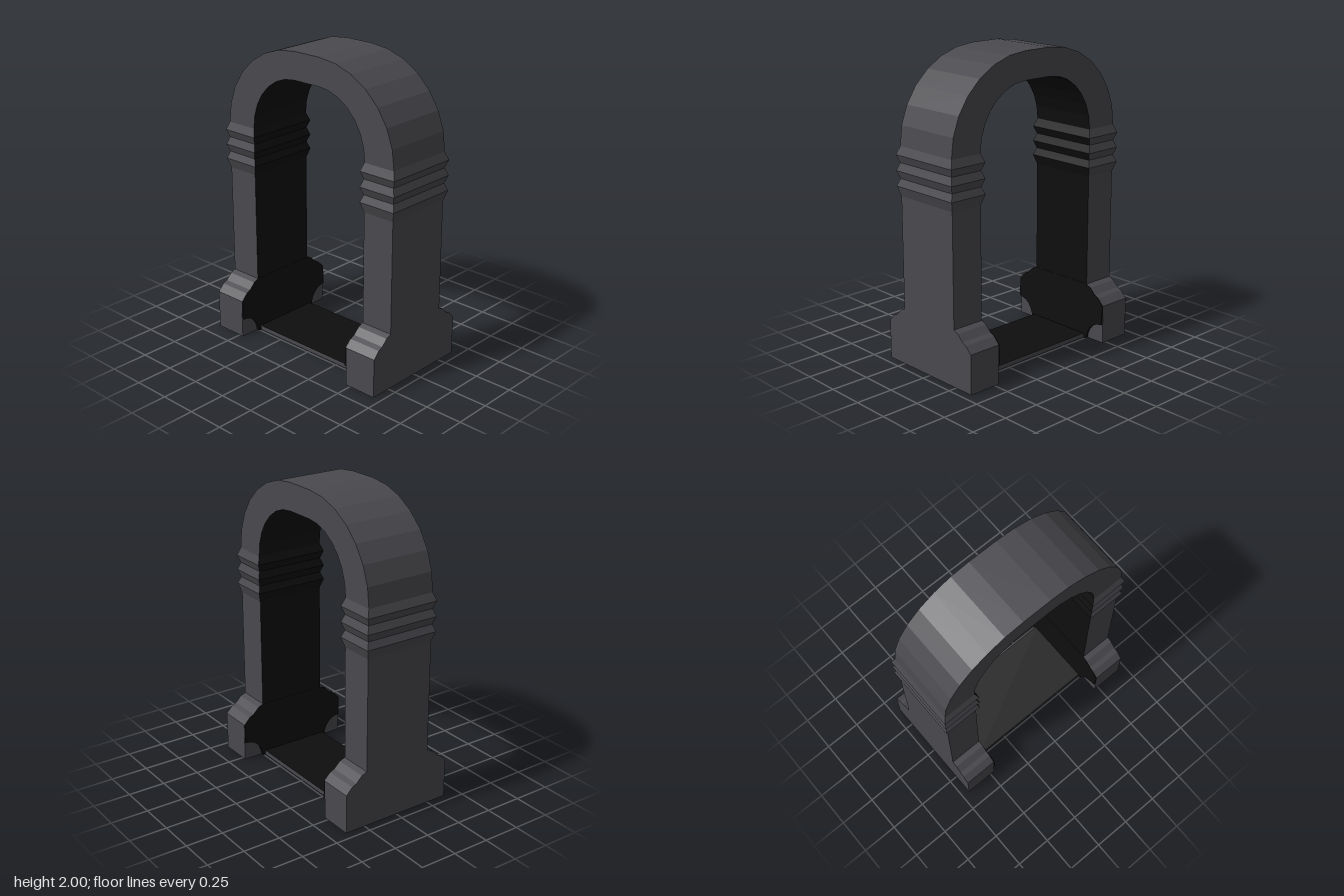
import * as THREE from 'three';

const OUT = 0.695, INN = 0.47, DEPTH = 0.238, FOOT_TOP = 0.376;

export function createModel() {
  const group = new THREE.Group();
  const grey = new THREE.MeshStandardMaterial({ color: 0x4a494e, name: 'dark grey' });
  const black = new THREE.MeshStandardMaterial({ color: 0x0e0e0e, name: 'black' });

  function add(parent, name, geometry, material) {
    const mesh = new THREE.Mesh(geometry, material);
    mesh.name = name;
    parent.add(mesh);
    return mesh;
  }

  // Cross-sections up one leg: outer point, inner point, half depth
  const half = [];
  const level = (y, bulge) => half.push({ o: [OUT + bulge, y], i: [INN - bulge, y], d: DEPTH + bulge });
  level(0, 0);
  [[1.115, 0], [1.18, 0.02], [1.227, 0.002], [1.277, 0.02], [1.327, 0.002], [1.377, 0.02], [1.43, 0]]
    .forEach(([y, bulge]) => level(y, bulge));
  // Quarter of the arch, ending at a short flat crown
  const steps = 7;
  for (let k = 1; k <= steps; k++) {
    const a = (k / steps) * Math.PI / 2, c = Math.cos(a), s = Math.sin(a);
    half.push({ o: [0.1 + 0.595 * c, 1.43 + 0.57 * s], i: [0.1 + 0.37 * c, 1.43 + 0.39 * s], d: DEPTH });
  }
  const mirrored = half.slice().reverse().map(({ o, i, d }) => ({ o: [-o[0], o[1]], i: [-i[0], i[1]], d }));
  const sections = [...half, ...mirrored];

  // Flat-faced strips between neighbouring sections
  function strips(pairs) {
    const pos = [];
    for (let n = 0; n < sections.length - 1; n++) {
      const corner = (s, [edge, side]) => [...s[edge], side * s.d];
      for (const [p, q] of pairs) {
        const a = corner(sections[n], p), b = corner(sections[n], q);
        const c = corner(sections[n + 1], q), d = corner(sections[n + 1], p);
        pos.push(...a, ...b, ...c, ...a, ...c, ...d);
      }
    }
    const g = new THREE.BufferGeometry();
    g.setAttribute('position', new THREE.Float32BufferAttribute(pos, 3));
    g.computeVertexNormals();
    return g;
  }
  const of = ['o', 1], ob = ['o', -1], inF = ['i', 1], inB = ['i', -1];
  add(group, 'archFrame', strips([[of, ob], [inF, of], [ob, inB]]), grey);
  add(group, 'archLining', strips([[inB, inF]]), black);

  // Stepped foot profile, as depth and height
  const steppedEdge = [[0.39, 0], [0.39, 0.26], [0.347, 0.305], [0.315, 0.32], [0.275, 0.36], [DEPTH, FOOT_TOP]];
  const shapeOf = pts => new THREE.Shape(pts.map(p => new THREE.Vector2(...p)));

  function makeLeg(name) {
    const leg = new THREE.Group();
    leg.name = name;
    for (const side of [1, -1]) {
      const pts = [[DEPTH, 0], ...steppedEdge].map(([z, y]) => [side * z, y]);
      const foot = new THREE.ExtrudeGeometry(shapeOf(pts), { depth: OUT - INN, bevelEnabled: false });
      foot.rotateY(-Math.PI / 2).translate(OUT, 0, 0);
      add(leg, 'foot', foot, grey);

      // Dark inner corner on the underside of the foot
      const patch = new THREE.BoxGeometry(0.1, 0.003, 0.1);
      patch.translate(INN + 0.05, 0.0005, side * (DEPTH + 0.06));
      add(leg, 'footUnderside', patch, black);
    }
    const base = new THREE.BoxGeometry(OUT - INN, 0.004, DEPTH * 2);
    add(leg, 'legBase', base.translate((OUT + INN) / 2, 0.002, 0), grey);

    // Inner lining that thickens downwards, with rounded cut-outs at the lower corners
    const edge = [];
    for (let k = 0; k <= 6; k++) {
      const a = (k / 6) * Math.PI / 2;
      edge.push([0.388 - 0.13 * Math.cos(a), 0.13 * Math.sin(a)]);
    }
    edge.push(...steppedEdge.slice(1));
    const outline = [...edge, ...edge.slice().reverse().map(([z, y]) => [-z, y])];
    const lining = new THREE.ExtrudeGeometry(shapeOf(outline), { depth: 1, bevelEnabled: false });
    const p = lining.attributes.position;
    for (let n = 0; n < p.count; n++) {
      const z = p.getX(n), y = p.getY(n), t = p.getZ(n);
      p.setXYZ(n, INN - t * (0.002 + 0.02 * (1 - y / FOOT_TOP)), y, z);
    }
    lining.computeVertexNormals();
    add(leg, 'footLining', lining, black);
    return leg;
  }
  const left = makeLeg('leftLegBase');
  const right = makeLeg('rightLegBase');
  right.rotation.y = Math.PI;
  group.add(left, right);

  // Threshold between the legs, dark on top
  const sill = new THREE.BoxGeometry(INN * 2, 0.03, DEPTH * 2).translate(0, 0.015, 0);
  add(group, 'threshold', sill, [grey, grey, black, grey, grey, grey]);
  return group;
}
